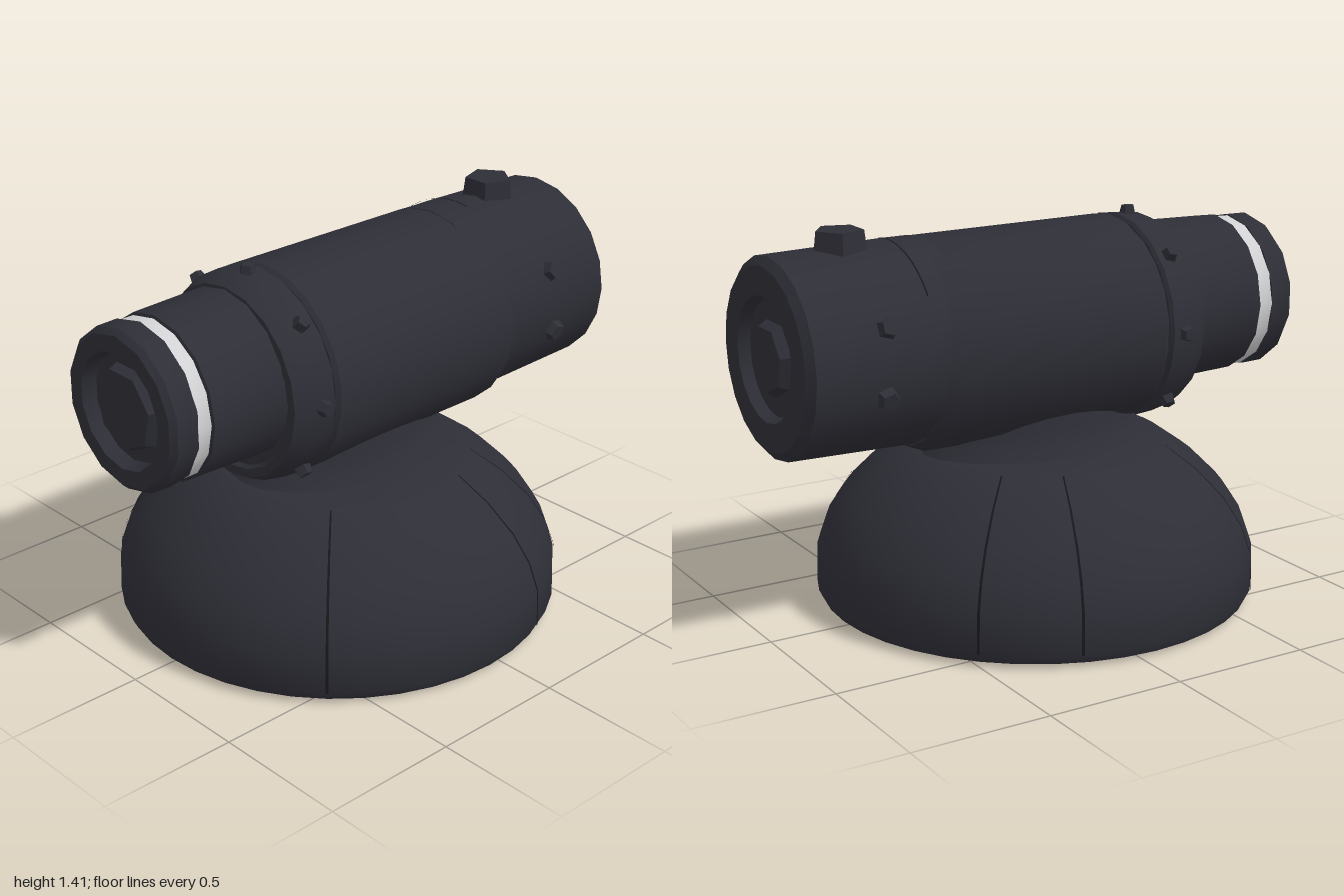
import * as THREE from 'three';
import { toCreasedNormals } from 'three/addons/utils/BufferGeometryUtils.js';

export function createModel() {
  const root = new THREE.Group();
  const material = (name, color) => {
    const m = new THREE.MeshStandardMaterial({ color });
    m.name = name;
    return m;
  };
  const shell = material('charcoal shell', 0x2e2e37);
  const seamDark = material('seam black', 0x17171b);
  seamDark.side = THREE.DoubleSide;
  const silver = material('light band', 0xd2d2d4);

  function add(name, geometry, mat, x = 0, y = 0, z = 0) {
    const mesh = new THREE.Mesh(geometry, mat);
    mesh.name = name;
    mesh.position.set(x, y, z);
    root.add(mesh);
    return mesh;
  }
  // Profile of [radius, height] pairs spun about y
  function spin(profile, sides, start = 0, length = Math.PI * 2) {
    const points = profile.map(([r, h]) => new THREE.Vector2(r, h));
    return toCreasedNormals(new THREE.LatheGeometry(points, sides, start, length), 0.55);
  }
  // The same, lying along z
  const spinZ = (...args) => spin(...args).rotateX(Math.PI / 2);

  // Domed base with a round recess underneath
  const baseZ = 0.06;
  const dome = [[0.795, 0.05], [0.79, 0.19], [0.755, 0.29], [0.69, 0.39], [0.59, 0.49], [0.475, 0.572]];
  add('base', spin([[0, 0.1], [0.24, 0.1], [0.26, 0.01], [0.74, 0.005], [0.78, 0.02], ...dome, [0.44, 0.58], [0, 0.58]], 40),
    shell, 0, 0, baseZ);

  // Narrow seams running up the dome
  const seamProfile = dome.map(([r, h]) => [r + 0.003, h + 0.002]);
  for (const side of [-1, 1]) {
    for (const angle of [0.785, 1.92, 2.36]) {
      add('baseSeam', spin(seamProfile, 1, side * angle - 0.006, 0.012), seamDark, 0, 0, baseZ);
    }
  }

  // Oval neck carrying the barrel
  const neck = spin([[0.45, 0.57], [0.41, 0.62], [0.385, 0.68], [0.37, 0.8], [0, 0.8]], 24);
  add('neck', neck.scale(0.69, 1, 1), shell, -0.01, 0, 0.05);

  // Barrel: sleeve, collar, rear housing
  const cx = -0.008;
  add('sleeve', spinZ([[0, -0.5], [0.345, -0.5], [0.37, -0.45], [0.372, 0.37], [0.36, 0.385], [0, 0.385]], 22),
    shell, cx, 0.985, 0);
  add('collar', spinZ([[0, 0.39], [0.362, 0.39], [0.374, 0.4], [0.368, 0.49], [0.342, 0.55], [0.31, 0.55], [0.3, 0.535], [0, 0.535]], 20),
    shell, cx, 0.985, 0);
  add('rearHousing', spinZ([[0, -0.95], [0.2, -0.95], [0.215, -0.99], [0.315, -0.99], [0.345, -0.965], [0.355, -0.5], [0.355, -0.4], [0, -0.4]], 20),
    shell, cx, 1.003, 0);
  add('rearLens', spinZ([[0, -0.985], [0.115, -0.985], [0.14, -0.94], [0, -0.94]], 7), shell, cx, 1.003, 0);
  add('topSeam', spinZ([[0.358, -0.534], [0.358, -0.528]], 8, Math.PI - 0.17, 1.1), seamDark, cx, 1.003, 0);

  // Front tube, light band, end cap and lens
  const lensY = 1.02;
  add('frontTube', spinZ([[0, 0.5], [0.3, 0.5], [0.29, 0.84], [0.27, 0.848], [0, 0.848]], 16), shell, cx, lensY, 0);
  add('lightBand', spinZ([[0.25, 0.846], [0.281, 0.846], [0.281, 0.9], [0.25, 0.9]], 16), silver, cx, lensY, 0);
  add('endCap', spinZ([[0, 0.899], [0.286, 0.899], [0.284, 0.98], [0.265, 1], [0.205, 1], [0.19, 0.95], [0, 0.95]], 14),
    shell, cx, lensY, 0);
  add('frontLens', spinZ([[0, 0.94], [0.16, 0.94], [0.14, 0.985], [0, 0.985]], 7), shell, cx, lensY, 0);

  // Small five-sided studs pointing outward from the barrel
  function stud(name, angle, radius, y, z, size) {
    const geometry = toCreasedNormals(new THREE.CylinderGeometry(size * 0.65, size, 0.05, 5), 0.3);
    const mesh = add(name, geometry, shell, cx + Math.sin(angle) * radius, y + Math.cos(angle) * radius, z);
    mesh.rotation.z = -angle;
  }
  for (let i = 0; i < 8; i++) stud('collarStud', i * Math.PI / 4, 0.372, 0.985, 0.45, 0.036);
  for (const side of [-1, 1]) {
    stud('rearStud', side * 1.17, 0.35, 1.003, -0.7, 0.046);
    stud('rearStud', side * 1.84, 0.35, 1.003, -0.71, 0.05);
  }

  // Button on top of the rear housing
  const button = toCreasedNormals(new THREE.CylinderGeometry(0.085, 0.095, 0.08, 5), 0.3).rotateY(Math.PI);
  add('topButton', button, shell, -0.015, 1.372, -0.71);

  return root;
}
